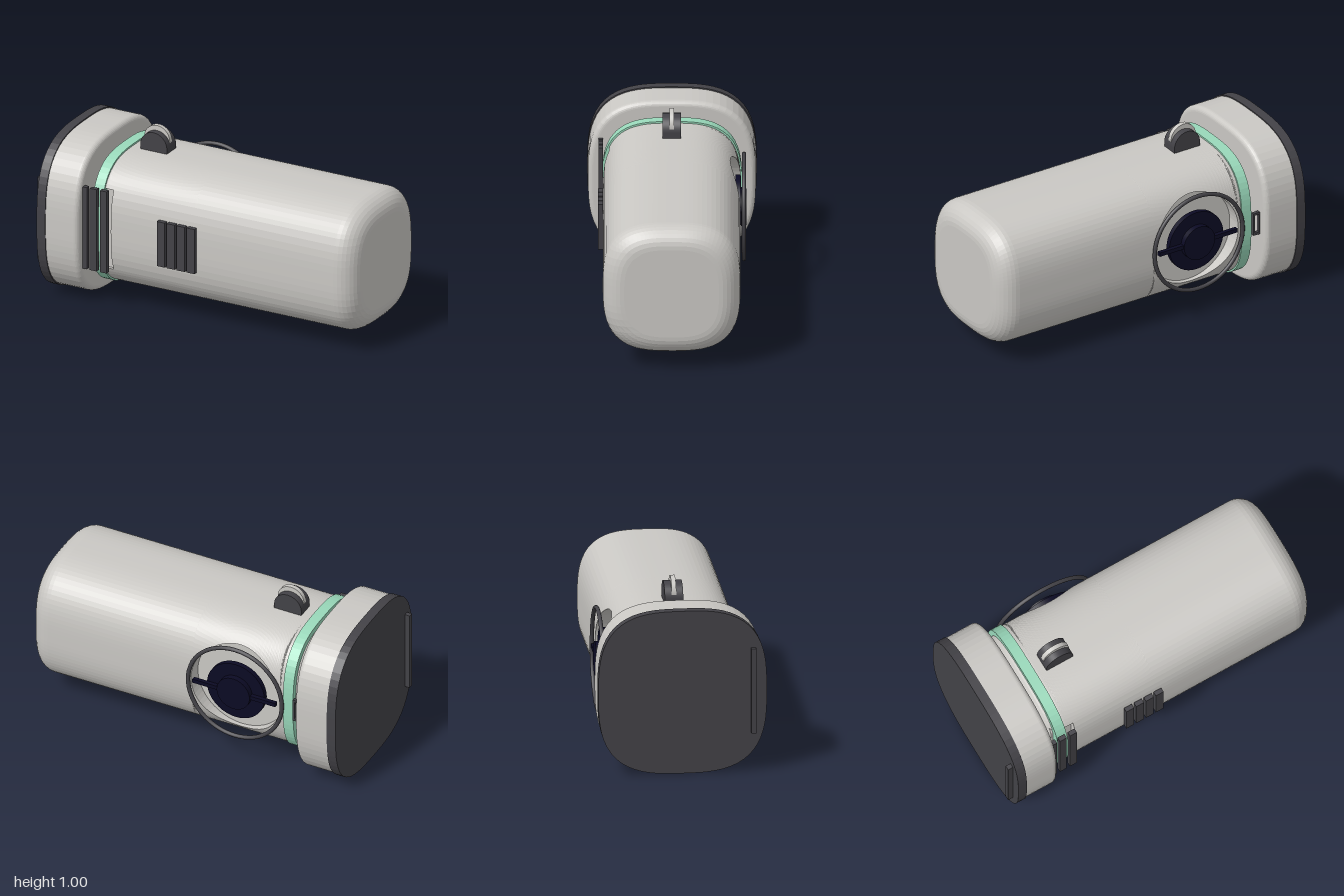
import * as THREE from 'three';

const CY = 0.474; // height of the main axis

const paint = (name, color) => {
  const m = new THREE.MeshStandardMaterial({ color });
  m.name = name;
  return m;
};

// Height-to-width rule of the rounded-square section (unit size)
const unitSide = (u) => Math.cbrt(Math.max(0, 1 - Math.abs(u) ** 3));

// Rounded-square section; hf / hb are half heights of front and back pockets, ff / fb their floors
function section(x, hy, hz, { hf = 0, ff = Infinity, hb = 0, fb = Infinity } = {}) {
  const pts = [];
  const arc = (a, b, n = 40) => {
    for (let i = 0; i <= n; i++) {
      const t = a + ((b - a) * i) / n, c = Math.cos(t), s = Math.sin(t);
      const r = 1 / Math.cbrt(Math.abs(c) ** 3 + Math.abs(s) ** 3);
      pts.push([x, CY + hy * r * c, hz * r * s]);
    }
  };
  const floor = (h, limit, side, n = 12) => {
    for (let i = 0; i <= n; i++) {
      const y = side * h * (1 - (2 * i) / n);
      pts.push([x, CY + y, side * Math.min(limit, hz * unitSide(y / hy))]);
    }
  };
  const angle = (h) => Math.atan2(unitSide(h / hy), h / hy);
  arc(-angle(hb), angle(hf));
  floor(hf, ff, 1);
  arc(Math.PI - angle(hf), Math.PI + angle(hb));
  floor(hb, fb, -1);
  return pts;
}

// Skin a list of sections along x and close both ends
function loft(rings) {
  const pos = [], idx = [], n = rings[0].length;
  rings.forEach((ring) => ring.forEach((p) => pos.push(...p)));
  for (let i = 0; i < rings.length - 1; i++) {
    for (let j = 0; j < n; j++) {
      const k = (j + 1) % n, a = i * n + j, b = i * n + k;
      idx.push(a, b, b + n, a, b + n, a + n);
    }
  }
  const last = rings.length - 1;
  [0, last].forEach((i) => {
    const c = pos.length / 3;
    pos.push(rings[i][0][0], CY, 0);
    for (let j = 0; j < n; j++) {
      const a = i * n + j, b = i * n + ((j + 1) % n);
      if (i) idx.push(c, a, b);
      else idx.push(c, b, a);
    }
  });
  const g = new THREE.BufferGeometry();
  g.setAttribute('position', new THREE.Float32BufferAttribute(pos, 3));
  g.setIndex(idx);
  const flat = g.toNonIndexed();
  flat.computeVertexNormals();
  return flat;
}

// How far a rounded end of radius r pulls the section in, at distance d from that end
const inset = (d, r) => (d >= r ? 0 : r - Math.sqrt(Math.max(0, r * r - (r - d) ** 2)));

export function createModel() {
  const shell = paint('warm grey shell', 0xcac8c4);
  const dark = paint('charcoal', 0x434247);
  const mint = paint('mint green', 0x99d8ba);
  const navy = paint('midnight navy', 0x0b0a24);

  const model = new THREE.Group();
  const add = (name, geometry, material, x = 0, y = 0, z = 0, parent = model) => {
    const mesh = new THREE.Mesh(geometry, material);
    mesh.name = name;
    mesh.position.set(x, y, z);
    parent.add(mesh);
    return mesh;
  };
  const group = (name) => {
    const g = new THREE.Group();
    g.name = name;
    model.add(g);
    return g;
  };

  // Main body with round pocket at the back and square pocket at the front
  const X0 = -0.71, X1 = 1, R = 0.12, DIAL_X = -0.3, DIAL_R = 0.28, CUT_X = -0.545;
  const xs = [CUT_X, CUT_X - 0.0002];
  for (let i = 0; i <= 8; i++) {
    const e = R * (1 - Math.cos((i * Math.PI) / 16));
    xs.push(X0 + e, X1 - e);
  }
  for (let i = 0; i <= 32; i++) xs.push(DIAL_X + DIAL_R * Math.cos((i * Math.PI) / 32));
  xs.sort((a, b) => a - b);
  const bodyRings = xs.map((x) => {
    const d = inset(x - X0, R) + inset(X1 - x, R);
    const h2 = DIAL_R ** 2 - (x - DIAL_X) ** 2;
    const hb = h2 > 1e-6 ? Math.sqrt(h2) : 0;
    return section(x, 0.383 - d, 0.385 - d, {
      hf: 0.24, ff: x < CUT_X ? 0.33 : Infinity,
      hb, fb: hb ? 0.3 : Infinity,
    });
  });
  add('body', loft(bodyRings), shell);

  // Coloured band around the neck of the body
  add('neckBand', loft([-0.663, -0.6].map((x) => section(x, 0.392, 0.392))), mint);

  // Wide head with a softened inner rim, and its end cap
  const headXs = [-0.96];
  for (let i = 6; i >= 0; i--) headXs.push(-0.71 - 0.03 * (1 - Math.cos((i * Math.PI) / 12)));
  add('head', loft(headXs.map((x) => {
    const d = inset(-0.71 - x, 0.03);
    return section(x, 0.467 - d, 0.469 - d);
  })), shell);
  add('endCap', loft([-0.97, -0.915].map((x) => section(x, 0.474, 0.474))), dark);

  // Front vents: tall slats by the neck, short ones on the body
  const tall = group('neckVent');
  for (const x of [-0.978, -0.705, -0.643, -0.578]) {
    add('tallSlat', new THREE.BoxGeometry(0.044, 0.495, 0.027), dark, x, 0.475, 0.398, tall);
  }
  const short = group('bodyVent');
  for (let i = 0; i < 4; i++) {
    add('shortSlat', new THREE.BoxGeometry(0.05, 0.27, 0.027), dark, -0.21 + i * 0.0635, 0.475, 0.398, short);
  }

  // Thumb wheel in its arched housing on top
  const wheel = group('thumbWheel');
  const arch = new THREE.Shape();
  arch.moveTo(-0.085, -0.04);
  arch.lineTo(0.085, -0.04);
  arch.lineTo(0.085, 0);
  arch.absarc(0, 0, 0.085, 0, Math.PI);
  arch.closePath();
  add('wheelHousing', new THREE.ExtrudeGeometry(arch, { depth: 0.104, bevelEnabled: false, curveSegments: 24 }),
    dark, -0.457, 0.885, -0.052, wheel);
  add('wheelDisc', new THREE.CylinderGeometry(0.082, 0.082, 0.026, 40), shell, -0.457, 0.918, 0, wheel)
    .rotation.x = Math.PI / 2;

  // Dial set in the back pocket
  const dial = group('backDial');
  const disc = (name, r, z0, z1) => {
    add(name, new THREE.CylinderGeometry(r, r, z1 - z0, 40), navy, DIAL_X, CY, (z0 + z1) / 2, dial)
      .rotation.x = Math.PI / 2;
  };
  disc('dialPlate', 0.18, -0.385, -0.355);
  disc('dialHub', 0.103, -0.418, -0.38);
  disc('dialAxle', 0.06, -0.36, -0.295);
  add('dialCrossbar', new THREE.BoxGeometry(0.52, 0.024, 0.024), navy, DIAL_X, CY, -0.398, dial);
  add('guardRing', new THREE.TorusGeometry(0.294, 0.012, 12, 64), dark, -0.304, CY, -0.403, dial);

  // Small strap loop beside the head
  const loop = new THREE.Shape();
  loop.moveTo(-0.024, -0.07);
  loop.lineTo(0.024, -0.07);
  loop.lineTo(0.024, 0.07);
  loop.lineTo(-0.024, 0.07);
  loop.closePath();
  const hole = new THREE.Path();
  hole.moveTo(-0.014, -0.056);
  hole.lineTo(-0.014, 0.056);
  hole.lineTo(0.014, 0.056);
  hole.lineTo(0.014, -0.056);
  hole.closePath();
  loop.holes.push(hole);
  add('strapLoop', new THREE.ExtrudeGeometry(loop, { depth: 0.02, bevelEnabled: false }), dark, -0.692, CY, -0.406);

  return model;
}
